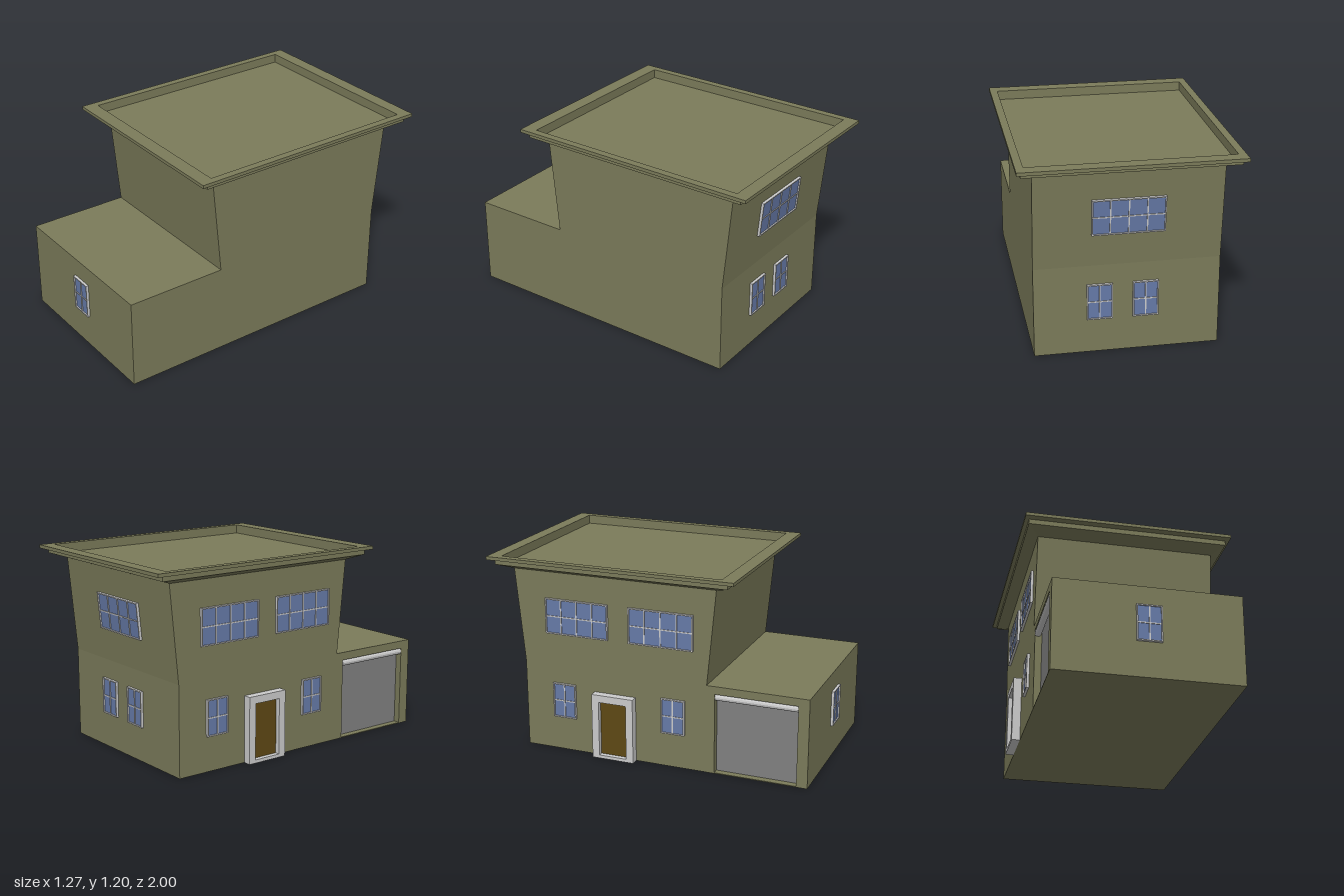
import * as THREE from 'three';

const mat = (color, side = THREE.FrontSide) => new THREE.MeshStandardMaterial({ color, side, flatShading: true });
const olive = mat(0x7b7b5a), grey = mat(0xcccccc), glass = mat(0x667aa8);
const doorBrown = mat(0x5e4814), doorGrey = mat(0x808080);

function box(name, parent, material, w, h, d, x, y, z) {
  const m = new THREE.Mesh(new THREE.BoxGeometry(w, h, d), material);
  m.name = name;
  m.position.set(x, y, z);
  parent.add(m);
  return m;
}

// Side outline in (z, y), swept along x
const outline = [
  [0.983, 0], [0.983, 0.545], [0.365, 0.545], [0.42, 1.12],
  [-0.865, 1.12], [-0.81, 0.545], [-0.81, 0]
];
function wallSlab(name, xFrom, xTo, hole) {
  const shape = new THREE.Shape(outline.map(([z, y]) => new THREE.Vector2(z, y)));
  if (hole) shape.holes.push(new THREE.Path(hole.map(([z, y]) => new THREE.Vector2(z, y))));
  const g = new THREE.ExtrudeGeometry(shape, { depth: xFrom - xTo, bevelEnabled: false });
  g.rotateY(-Math.PI / 2);
  g.translate(xFrom, 0, 0);
  const m = new THREE.Mesh(g, olive);
  m.name = name;
  return m;
}

// Roof: rectangular rings [half width, back z, front z, y] joined in order
function roof() {
  const rings = [
    [0.54, -0.865, 0.42, 1.12], [0.61, -0.955, 0.51, 1.15], [0.61, -0.955, 0.51, 1.18],
    [0.635, -1, 0.555, 1.18], [0.635, -1, 0.555, 1.2], [0.59, -0.92, 0.47, 1.2],
    [0.59, -0.92, 0.47, 1.145]
  ].map(([w, b, f, y]) => [[-w, y, f], [w, y, f], [w, y, b], [-w, y, b]]);
  const pos = [];
  const quad = (a, b, c, d) => pos.push(...a, ...b, ...c, ...a, ...c, ...d);
  for (let i = 0; i < rings.length - 1; i++) {
    for (let k = 0; k < 4; k++) {
      const n = (k + 1) % 4;
      quad(rings[i][k], rings[i][n], rings[i + 1][n], rings[i + 1][k]);
    }
  }
  quad(...rings[rings.length - 1]);
  const g = new THREE.BufferGeometry();
  g.setAttribute('position', new THREE.Float32BufferAttribute(pos, 3));
  g.computeVertexNormals();
  const m = new THREE.Mesh(g, olive);
  m.name = 'roof';
  return m;
}

// Window facing local +z, its back resting on the wall
function makeWindow(name, w, h, cols, rows) {
  const g = new THREE.Group();
  g.name = name;
  const t = 0.007, d = 0.016;
  box('glass', g, glass, w - t, h - t, 0.008, 0, 0, 0.004);
  for (const s of [-1, 1]) {
    box('frameSide', g, grey, t, h, d, s * (w - t) / 2, 0, d / 2);
    box('frameRail', g, grey, w - 2 * t, t, d, 0, s * (h - t) / 2, d / 2);
  }
  for (let i = 1; i < cols; i++) box('mullion', g, grey, t, h - 2 * t, 0.013, w * (i / cols - 0.5), 0, 0.0065);
  for (let i = 1; i < rows; i++) box('crossbar', g, grey, w - 2 * t, t, 0.012, 0, h * (i / rows - 0.5), 0.006);
  return g;
}

export function createModel() {
  const house = new THREE.Group();
  house.name = 'house';

  // Walls, with the garage opening cut into the right side
  house.add(wallSlab('mainBody', 0.54, -0.495));
  house.add(wallSlab('rightWall', -0.495, -0.54, [[0.415, 0.005], [0.415, 0.497], [0.917, 0.497], [0.917, 0.005]]));
  house.add(roof());

  // Garage door and its roller
  box('garageDoor', house, doorGrey, 0.006, 0.492, 0.502, -0.496, 0.251, 0.666);
  const roller = new THREE.Mesh(new THREE.CylinderGeometry(0.02, 0.02, 0.5, 12), grey);
  roller.name = 'garageRoller';
  roller.rotation.x = Math.PI / 2;
  roller.position.set(-0.522, 0.476, 0.666);
  house.add(roller);

  // Windows: name, width, columns, position, turn, tilt
  const side = -Math.PI / 2, back = Math.PI;
  const lean = Math.atan(0.055 / 0.575);
  const windows = [
    ['frontWindow', 0.145, 2, [0, 0.32, 0.983], 0, 0],
    ['sideLowerWindow', 0.148, 2, [-0.54, 0.32, -0.55], side, 0],
    ['sideLowerWindow', 0.148, 2, [-0.54, 0.32, 0.156], side, 0],
    ['sideUpperWindow', 0.405, 4, [-0.54, 0.85, -0.458], side, 0],
    ['sideUpperWindow', 0.405, 4, [-0.54, 0.85, 0.08], side, 0],
    ['backLowerWindow', 0.148, 2, [0.16, 0.32, -0.81], back, 0],
    ['backLowerWindow', 0.148, 2, [-0.106, 0.32, -0.81], back, 0],
    ['backUpperWindow', 0.42, 4, [0, 0.85, -0.839], back, lean]
  ];
  for (const [name, w, cols, p, turn, tilt] of windows) {
    const win = makeWindow(name, w, 0.218, cols, 2);
    win.position.set(...p);
    win.rotation.set(tilt, turn, 0, 'YXZ');
    house.add(win);
  }

  // Front door with a deep surround
  const door = new THREE.Group();
  door.name = 'entrance';
  door.position.set(-0.54, 0, -0.217);
  door.rotation.y = side;
  for (const s of [-1, 1]) box('jamb', door, grey, 0.045, 0.405, 0.05, s * 0.1105, 0.2025, 0.025);
  box('lintel', door, grey, 0.176, 0.045, 0.05, 0, 0.3825, 0.025);
  box('threshold', door, grey, 0.176, 0.02, 0.05, 0, 0.01, 0.025);
  box('doorPanel', door, doorBrown, 0.176, 0.34, 0.02, 0, 0.19, 0.01);
  house.add(door);

  return house;
}
